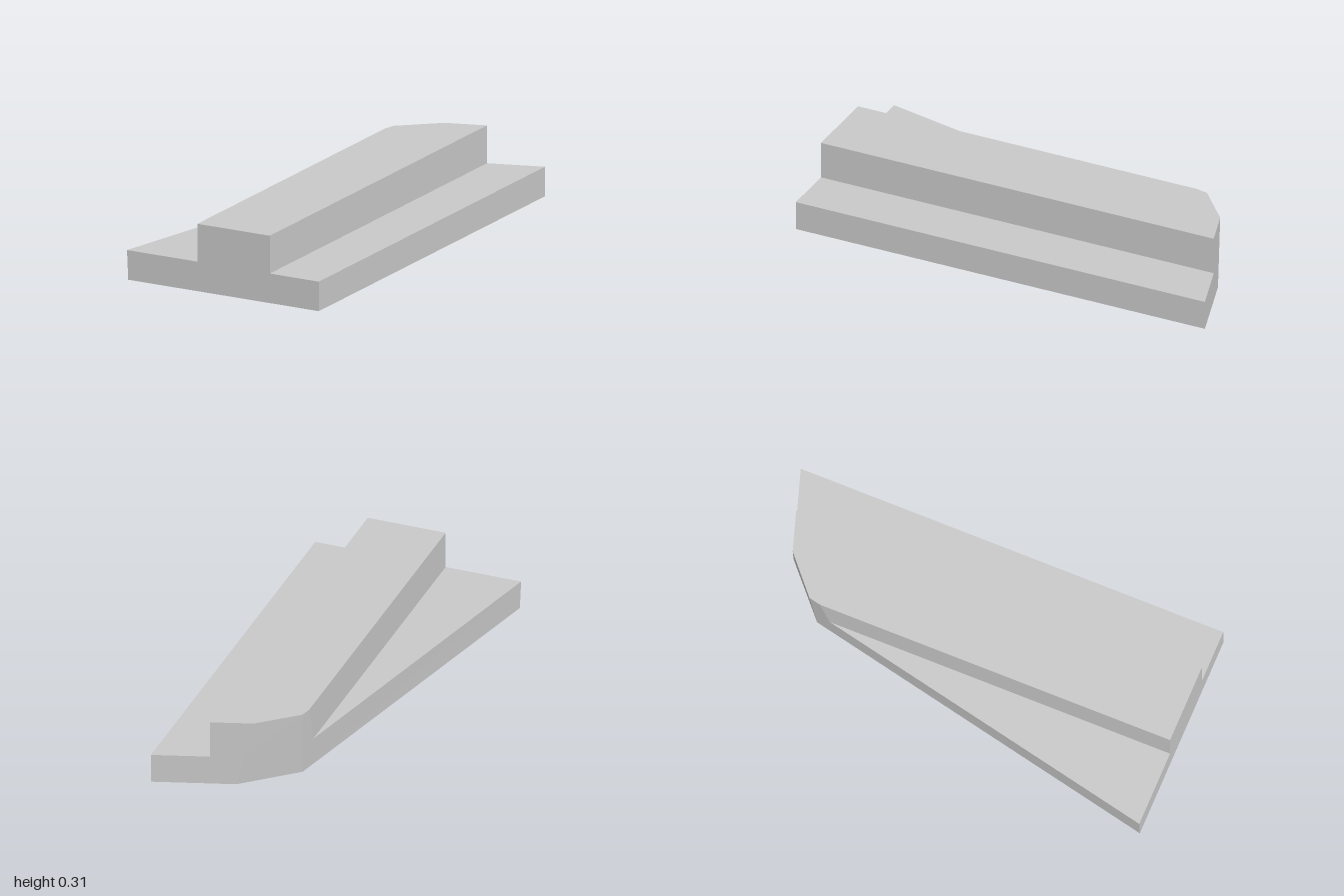
import * as THREE from 'three';

const BASE_Y = 0.135, TOP_Y = 0.308;

// Fan-triangulated convex polygons, each a loop of [x, y, z] counter-clockwise from outside
function polygons(name, faces, material) {
  const pos = [];
  for (const f of faces) {
    for (let i = 1; i < f.length - 1; i++) pos.push(...f[0], ...f[i], ...f[i + 1]);
  }
  const geo = new THREE.BufferGeometry();
  geo.setAttribute('position', new THREE.Float32BufferAttribute(pos, 3));
  geo.computeVertexNormals();
  const mesh = new THREE.Mesh(geo, material);
  mesh.name = name;
  return mesh;
}

// Wall quads between a lower and an upper loop
const walls = (lo, hi) => lo.map((p, i) => {
  const j = (i + 1) % lo.length;
  return [p, lo[j], hi[j], hi[i]];
});

export function createModel() {
  const grey = new THREE.MeshStandardMaterial({ color: 0xc8c8c8 });
  grey.name = 'light grey';
  const group = new THREE.Group();
  group.name = 'steppedWedgeBlock';

  // Tapered footprint at the floor and at full height: the side and back corner lean slightly
  const floor = [[-0.477, 1], [0.483, 1], [0.483, -1], [0.125, -0.886], [-0.106, -0.68]];
  const crown = [[-0.491, 1], [0.483, 1], [0.483, -1], [0.055, -0.862], [-0.117, -0.712]];
  const loopAt = (y) => floor.map(([x, z], i) => {
    const t = y / TOP_Y;
    return [x + (crown[i][0] - x) * t, y, z + (crown[i][1] - z) * t];
  });

  // Ridge outline: the footprint cut by two upright planes
  const x0 = -0.129, x1 = 0.236;
  const pointAtX = (a, b, x) => [x, a[1], a[2] + (b[2] - a[2]) * (x - a[0]) / (b[0] - a[0])];
  const ridgeAt = (y) => {
    const [a, , c, d, e] = loopAt(y);
    return [[x0, y, 1], [x1, y, 1], pointAtX(c, d, x1), d, e, pointAtX(e, a, x0)];
  };

  const low = loopAt(0), mid = loopAt(BASE_Y);
  const ridgeLow = ridgeAt(BASE_Y), ridgeTop = ridgeAt(TOP_Y);

  // Base slab with its two ledges
  group.add(polygons('base', [[...low].reverse(), ...walls(low, mid)], grey));
  group.add(polygons('leftLedge', [[ridgeLow[1], mid[1], mid[2], ridgeLow[2]]], grey));
  group.add(polygons('rightLedge', [[mid[0], ridgeLow[0], ridgeLow[5]]], grey));

  // Raised central ridge
  group.add(polygons('ridge', [ridgeTop, ...walls(ridgeLow, ridgeTop)], grey));
  return group;
}
